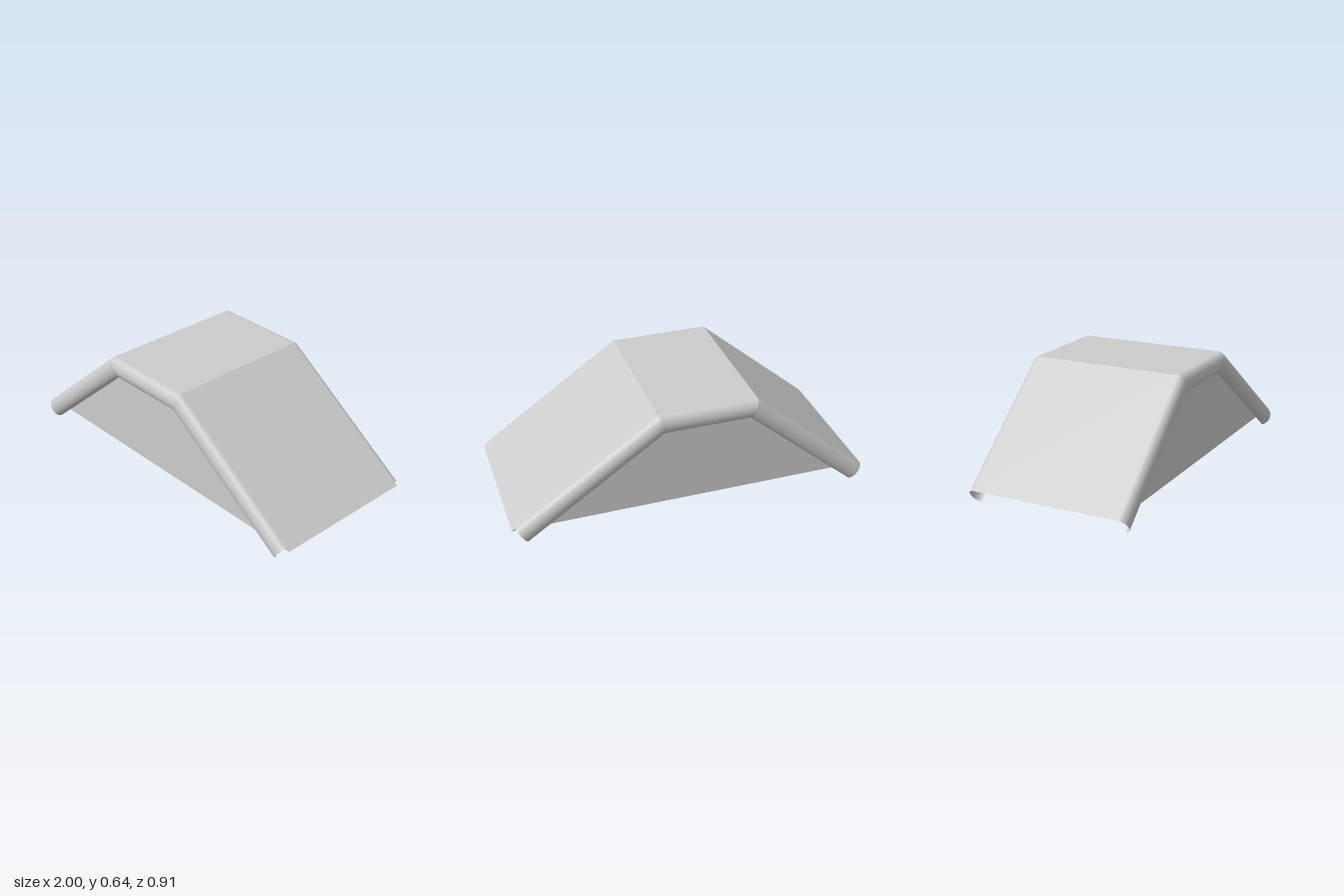
import * as THREE from 'three';

const HALF = 0.415;   // half depth of the shell
const BULGE = 0.042;  // how far the edge rails stand out
const BASE = 0.09;    // height of the lower rim

const material = new THREE.MeshStandardMaterial({ color: 0xcccccc, side: THREE.DoubleSide });

// Roof outline, and the outer and inner lines of the mitred edge rail
const roofLine = [[-1, BASE], [-0.35, 0.645], [0.2, 0.645], [1, BASE]];
const railOuter = [[-1, BASE], [-0.35, 0.645], [0.2, 0.645], [0.98, 0.104]];
const railInner = [[-0.929, 0.004], [-0.31, 0.535], [0.166, 0.535], [0.917, 0.014]];

// Grid surface from rows of points, all rows of equal length
function loft(rows) {
  const n = rows[0].length;
  const index = [];
  for (let r = 0; r < rows.length - 1; r++) {
    for (let i = 0; i < n - 1; i++) {
      const a = r * n + i, b = a + n;
      index.push(a, b, a + 1, b, b + 1, a + 1);
    }
  }
  const geometry = new THREE.BufferGeometry();
  geometry.setAttribute('position', new THREE.Float32BufferAttribute(rows.flat(2), 3));
  geometry.setIndex(index);
  geometry.computeVertexNormals();
  return geometry;
}

function addPart(parent, name, geometry) {
  const mesh = new THREE.Mesh(geometry, material);
  mesh.name = name;
  parent.add(mesh);
  return mesh;
}

// Half-oval rail section swept from the outer line round to the inner line
function railSection(i, side, steps = 20) {
  const [ox, oy] = railOuter[i], [ix, iy] = railInner[i];
  const section = [];
  for (let s = 0; s <= steps; s++) {
    const angle = (s / steps) * Math.PI;
    const t = (1 - Math.cos(angle)) / 2;
    section.push([ox + (ix - ox) * t, oy + (iy - oy) * t, side * (HALF + BULGE * Math.sin(angle))]);
  }
  return side > 0 ? section : section.reverse();
}

export function createModel() {
  const model = new THREE.Group();
  model.name = 'canopy';

  // Three flat roof panels
  const roof = new THREE.Group();
  roof.name = 'roof';
  ['rightSlope', 'flatTop', 'leftSlope'].forEach((name, i) => {
    const edge = ([x, y]) => [[x, y, -HALF], [x, y, HALF]];
    addPart(roof, name, loft([edge(roofLine[i + 1]), edge(roofLine[i])]));
  });
  model.add(roof);

  // End walls and their rounded edge rails, front and back
  const wallShape = new THREE.Shape(roofLine.map(([x, y]) => new THREE.Vector2(x, y)));
  for (const [label, side] of [['front', 1], ['back', -1]]) {
    const wall = addPart(model, label + 'Wall', new THREE.ShapeGeometry(wallShape));
    wall.position.z = side * HALF;
    if (side < 0) wall.rotation.y = Math.PI, wall.scale.x = -1;

    const rail = new THREE.Group();
    rail.name = label + 'Rail';
    for (let i = 0; i < 3; i++) {
      addPart(rail, 'railSegment', loft([railSection(i + 1, side), railSection(i, side)]));
    }
    model.add(rail);
  }
  return model;
}
